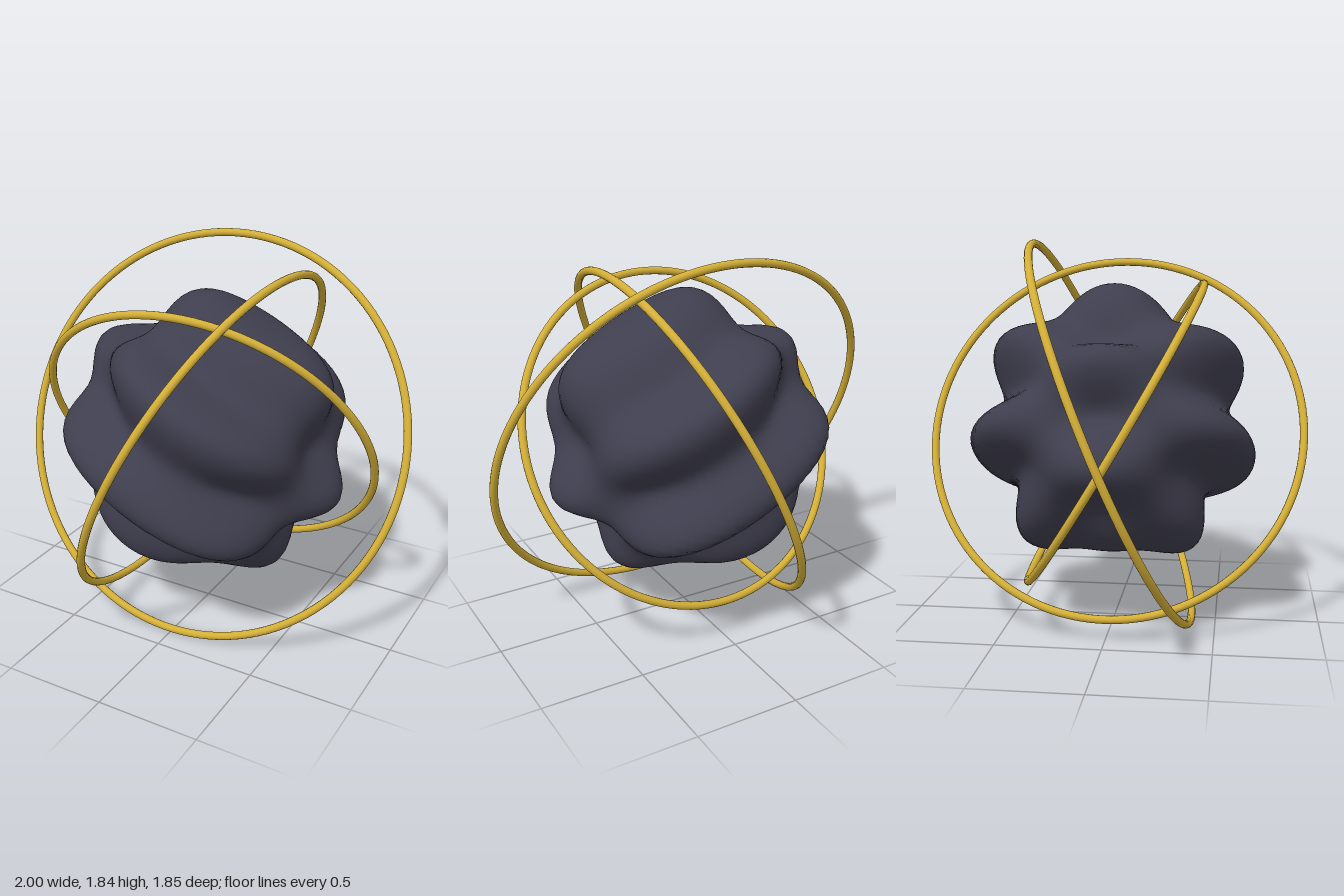
import * as THREE from 'three';
import { mergeVertices } from 'three/addons/utils/BufferGeometryUtils.js';

const CENTRE_Y = 0.93;

// Sphere pushed in and out by crossed waves
function rippledSphere(radius, depth) {
  let geo = new THREE.SphereGeometry(1, 96, 64);
  geo.deleteAttribute('uv');
  geo.deleteAttribute('normal');
  geo = mergeVertices(geo, 1e-4);
  const pos = geo.attributes.position;
  const v = new THREE.Vector3();
  for (let i = 0; i < pos.count; i++) {
    v.fromBufferAttribute(pos, i).normalize();
    const wave = Math.sin(4 * v.x + 8 * v.y) * Math.cos(4 * v.z);
    v.multiplyScalar(radius + depth * wave);
    pos.setXYZ(i, v.x, v.y, v.z);
  }
  geo.computeVertexNormals();
  return geo;
}

export function createModel() {
  const model = new THREE.Group();
  model.name = 'ringedOrb';

  const stone = new THREE.MeshStandardMaterial({ color: 0x3f3e4e });
  stone.name = 'dark slate';
  const gold = new THREE.MeshStandardMaterial({ color: 0xd4af37 });
  gold.name = 'gold';

  // Rippled core
  const core = new THREE.Mesh(rippledSphere(0.626, 0.091), stone);
  core.name = 'core';
  core.position.y = CENTRE_Y;
  model.add(core);

  // Three tilted rings: name, radius, axis
  const rings = [
    ['outerRing', 0.98, [0.037, 0.39, 0.92]],
    ['middleRing', 0.905, [0.905, -0.425, 0.04]],
    ['innerRing', 0.83, [0.07, -0.51, 0.86]],
  ];
  const zAxis = new THREE.Vector3(0, 0, 1);
  for (const [name, radius, axis] of rings) {
    const ring = new THREE.Mesh(new THREE.TorusGeometry(radius, 0.019, 12, 120), gold);
    ring.name = name;
    ring.position.y = CENTRE_Y;
    ring.quaternion.setFromUnitVectors(zAxis, new THREE.Vector3(...axis).normalize());
    model.add(ring);
  }
  return model;
}
